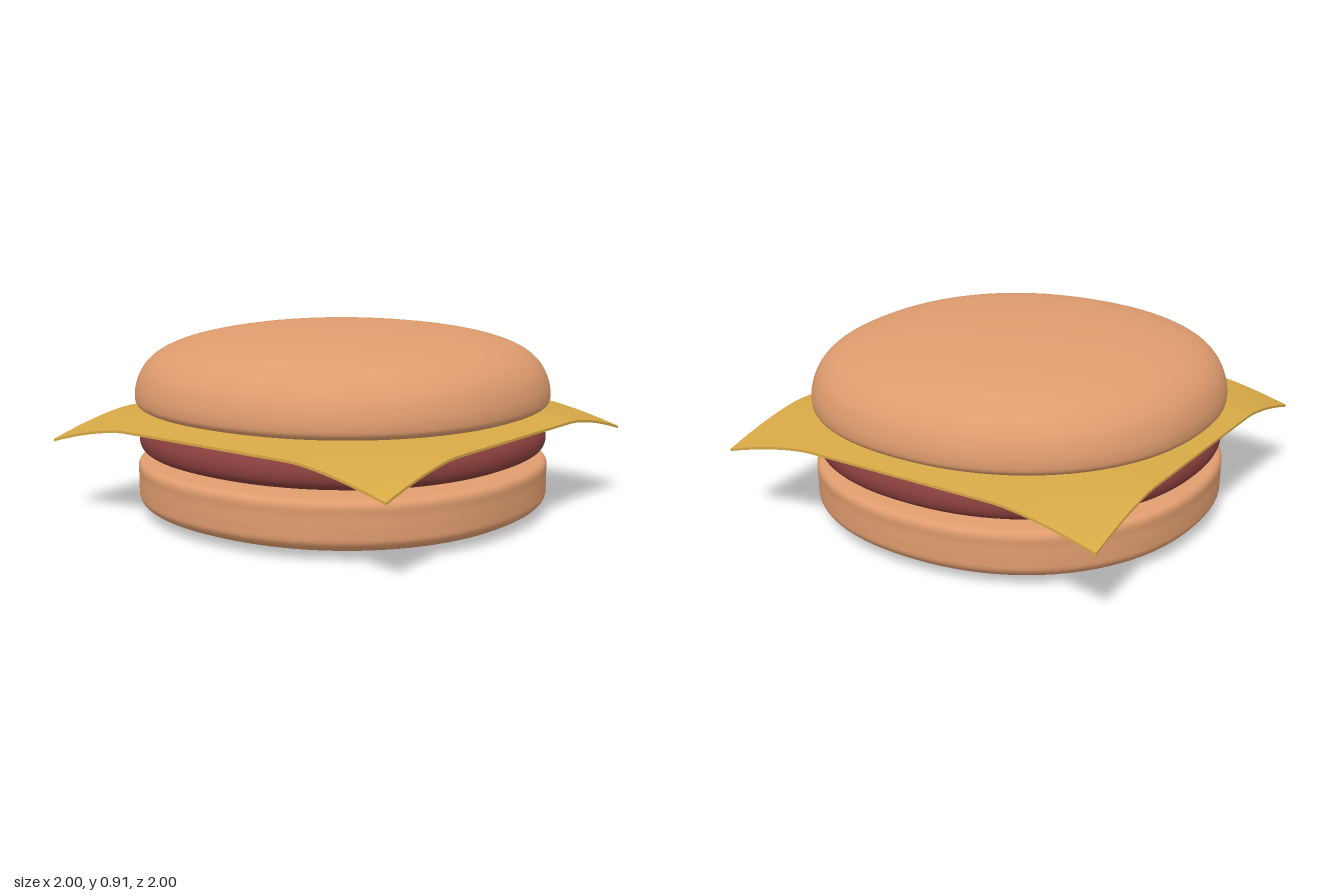
import * as THREE from 'three';
import { mergeVertices } from 'three/addons/utils/BufferGeometryUtils.js';

const bunMaterial = new THREE.MeshStandardMaterial({ color: 0xdf9c6e });
const pattyMaterial = new THREE.MeshStandardMaterial({ color: 0x873e3c });
const cheeseMaterial = new THREE.MeshStandardMaterial({ color: 0xd6a846 });

// Smooth layer: a profile (radius, height) from bottom to top, turned and
// pushed slightly towards a rounded square.
function layer(name, material, profile) {
  const curve = new THREE.CatmullRomCurve3(
    profile.map(([r, y]) => new THREE.Vector3(r, y, 0)), false, 'centripetal');
  const points = curve.getPoints(profile.length * 6)
    .map((p) => new THREE.Vector2(Math.max(p.x, 0), p.y));
  let geometry = new THREE.LatheGeometry(points, 96);
  const pos = geometry.attributes.position;
  const n = 2.18;
  for (let i = 0; i < pos.count; i++) {
    const x = pos.getX(i), z = pos.getZ(i), r = Math.hypot(x, z);
    if (r < 1e-6) continue;
    const k = (Math.abs(x / r) ** n + Math.abs(z / r) ** n) ** (-1 / n);
    pos.setX(i, x * k);
    pos.setZ(i, z * k);
  }
  // Weld the seam so that the normals are smooth all round
  geometry.deleteAttribute('uv');
  geometry.deleteAttribute('normal');
  geometry = mergeVertices(geometry, 1e-5);
  geometry.computeVertexNormals();
  const mesh = new THREE.Mesh(geometry, material);
  mesh.name = name;
  return mesh;
}

// Thin square slice whose edges sag and whose corners droop further
function cheeseSlice() {
  const geometry = new THREE.BoxGeometry(2, 0.012, 2, 48, 1, 48);
  const pos = geometry.attributes.position;
  const bend = (v) => Math.max(0, (Math.abs(v) - 0.5) / 0.5) ** 1.5;
  for (let i = 0; i < pos.count; i++) {
    const gx = bend(pos.getX(i)), gz = bend(pos.getZ(i));
    pos.setY(i, pos.getY(i) + 0.512 - 0.045 * (gx + gz) - 0.055 * gx * gz);
  }
  geometry.computeVertexNormals();
  const mesh = new THREE.Mesh(geometry, cheeseMaterial);
  mesh.name = 'cheeseSlice';
  return mesh;
}

export function createModel() {
  const group = new THREE.Group();
  group.name = 'cheeseburger';
  group.add(
    layer('bottomBun', bunMaterial, [
      [0, 0.003], [0.4, 0.008], [0.7, 0.017], [0.86, 0.03], [0.94, 0.05], [0.975, 0.085],
      [0.98, 0.13], [0.98, 0.2], [0.98, 0.25], [0.965, 0.27], [0.92, 0.279], [0.7, 0.284], [0, 0.288],
    ]),
    layer('patty', pattyMaterial, [
      [0, 0.291], [0.6, 0.291], [0.83, 0.296], [0.92, 0.31], [0.96, 0.335], [0.972, 0.37],
      [0.965, 0.41], [0.94, 0.44], [0.89, 0.457], [0.75, 0.473], [0.4, 0.486], [0, 0.488],
    ]),
    cheeseSlice(),
    layer('topBun', bunMaterial, [
      [0, 0.522], [0.6, 0.524], [0.88, 0.527], [0.96, 0.534], [0.985, 0.555], [0.99, 0.59], [0.983, 0.64],
      [0.955, 0.71], [0.9, 0.773], [0.8, 0.828], [0.6, 0.88], [0.3, 0.91], [0, 0.917],
    ]),
  );
  return group;
}
